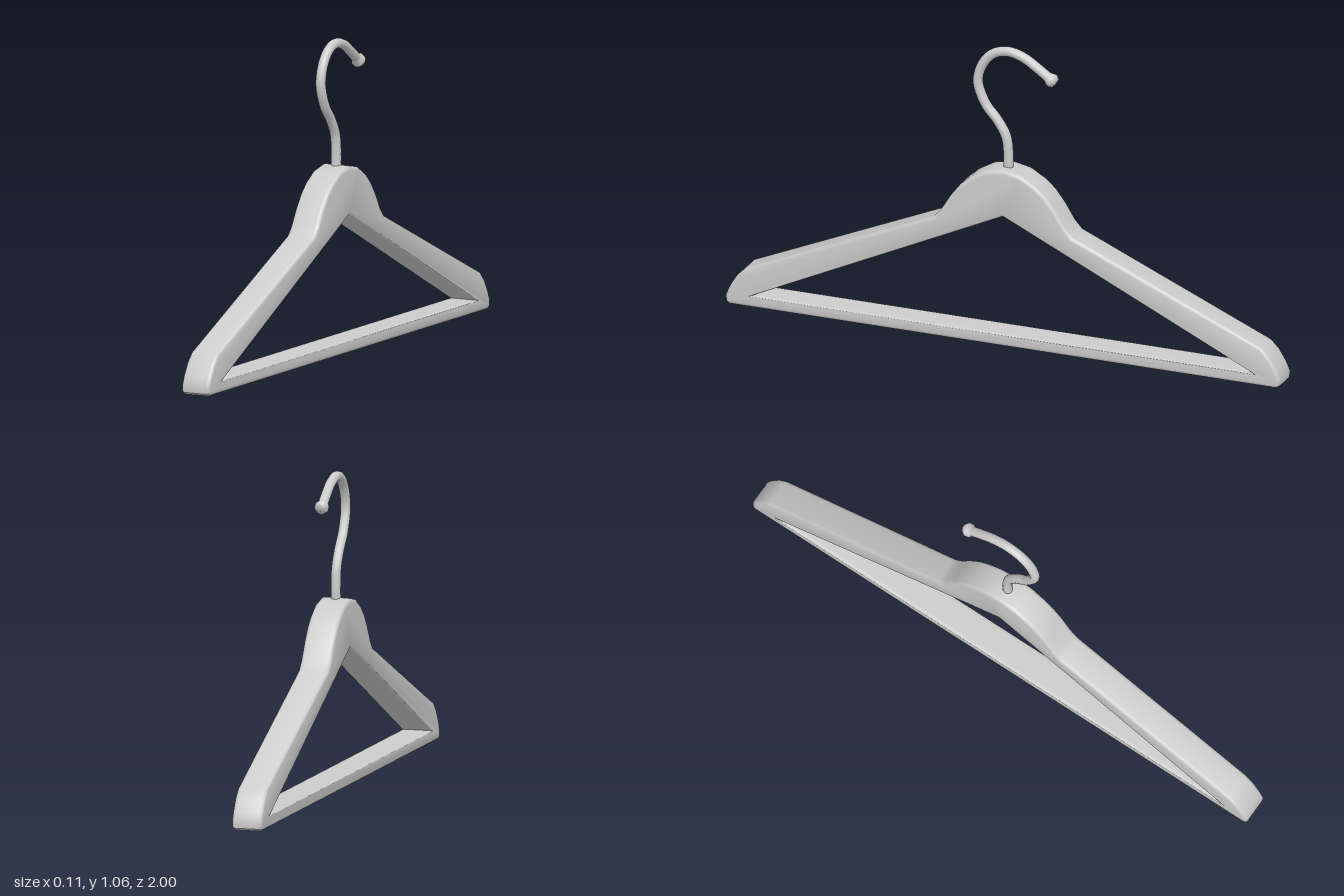
import * as THREE from 'three';
import { toCreasedNormals } from 'three/addons/utils/BufferGeometryUtils.js';

export function createModel() {
  const group = new THREE.Group();
  const material = new THREE.MeshStandardMaterial({ color: 0xcccccc });
  const add = (name, geometry, parent) => {
    const mesh = new THREE.Mesh(geometry, material);
    mesh.name = name;
    parent.add(mesh);
    return mesh;
  };

  // The hanger is drawn flat in the xy plane, then turned to lie along z
  const hanger = new THREE.Group();
  hanger.name = 'hanger';
  hanger.rotation.y = Math.PI / 2;
  group.add(hanger);

  // Body: shoulders, centre hump and trouser bar in one bevelled frame
  const half = [
    [0.985, 0], [0.997, 0.008], [1, 0.03], [0.985, 0.065], [0.96, 0.105], [0.93, 0.135],
    [0.25, 0.428], [0.225, 0.455], [0.19, 0.512], [0.155, 0.557], [0.12, 0.588], [0.065, 0.62],
  ];
  const mirrored = half.map(([x, y]) => [-x, y]).reverse();
  const outline = [...half, [0, 0.633], ...mirrored].map(([x, y]) => new THREE.Vector2(x, y));
  const shape = new THREE.Shape(outline);
  shape.holes.push(new THREE.Path([
    new THREE.Vector2(-0.9, 0.043), new THREE.Vector2(0, 0.465), new THREE.Vector2(0.9, 0.043),
  ]));
  const thickness = 0.106, bevel = 0.013;
  const frame = new THREE.ExtrudeGeometry(shape, {
    depth: thickness - 2 * bevel,
    bevelThickness: bevel, bevelSize: bevel, bevelOffset: -bevel, bevelSegments: 4,
  });
  frame.translate(0, 0, -thickness / 2 + bevel);
  add('body', toCreasedNormals(frame, 0.6), hanger);

  // Wire hook
  const path = new THREE.CatmullRomCurve3([
    [0, 0.6], [0.002, 0.67], [-0.006, 0.735], [-0.037, 0.79], [-0.08, 0.842], [-0.108, 0.92],
    [-0.091, 0.985], [-0.052, 1.028], [0, 1.043], [0.055, 1.03], [0.108, 0.998], [0.155, 0.965],
  ].map(([x, y]) => new THREE.Vector3(x, y, 0)));
  add('hook', new THREE.TubeGeometry(path, 60, 0.017, 12), hanger);

  // Flared knob closing the end of the hook
  const profile = [[0.016, -0.02], [0.025, 0], [0.025, 0.008], [0.018, 0.02], [0, 0.022]]
    .map(([x, y]) => new THREE.Vector2(x, y));
  const knob = add('hookTip', new THREE.LatheGeometry(profile, 10), hanger);
  knob.position.copy(path.getPoint(1));
  knob.quaternion.setFromUnitVectors(new THREE.Vector3(0, 1, 0), path.getTangent(1));

  return group;
}
